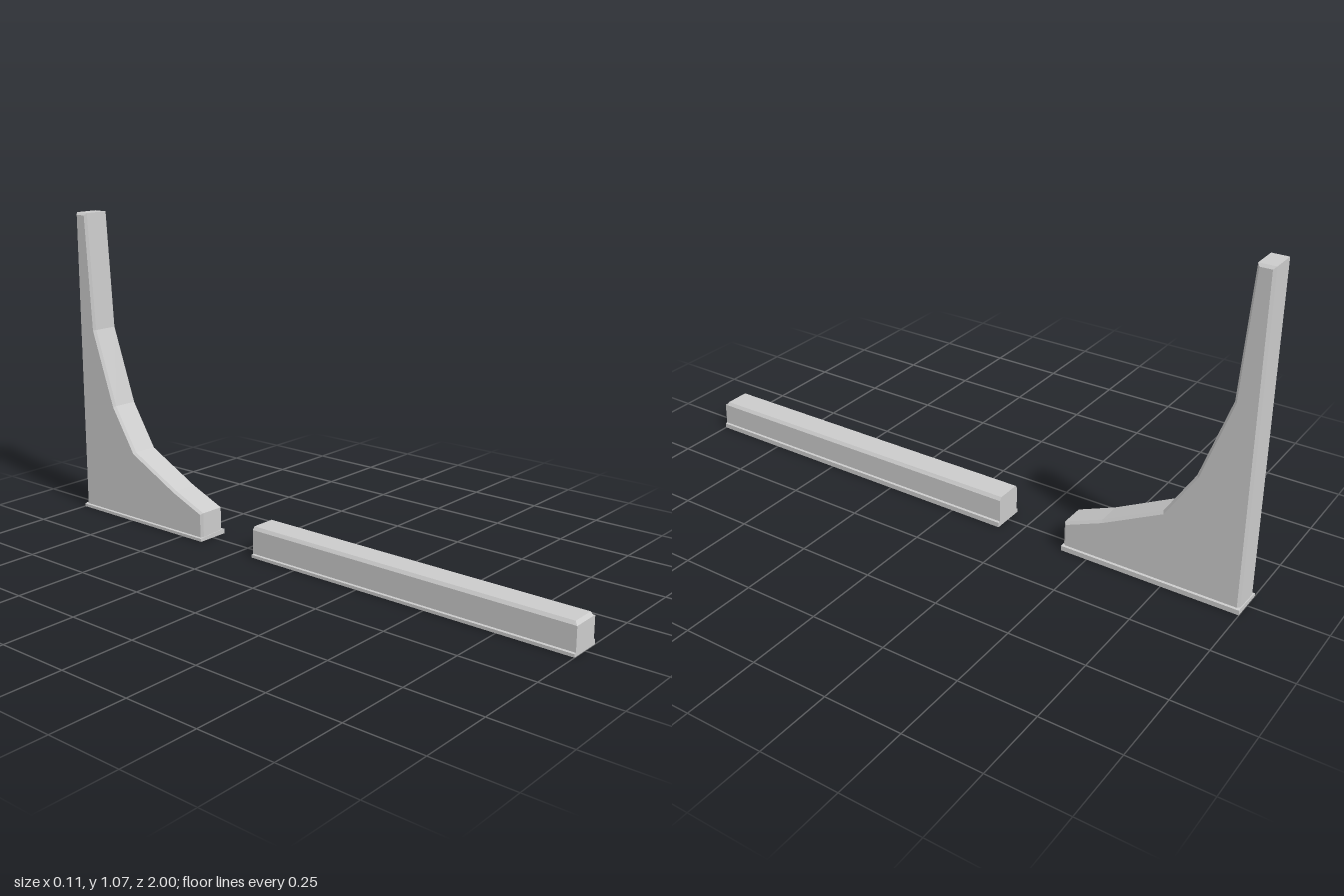
import * as THREE from 'three';

const material = new THREE.MeshStandardMaterial({ color: 0xcccccc, flatShading: true });

// Joins equal-length cross-sections, given counter-clockwise from +z, ordered back to front.
function loft(sections) {
  const n = sections[0].points.length;
  const pos = [], index = [];
  for (const { z, points } of sections) for (const [x, y] of points) pos.push(x, y, z);
  for (let s = 0; s < sections.length - 1; s++) {
    for (let i = 0; i < n; i++) {
      const j = (i + 1) % n, a = s * n + i, b = s * n + j;
      index.push(a, b, b + n, a, b + n, a + n);
    }
  }
  const caps = [[0, true], [sections.length - 1, false]];
  for (const [s, back] of caps) {
    const outline = sections[s].points.map(([x, y]) => new THREE.Vector2(x, y));
    for (const [a, b, c] of THREE.ShapeUtils.triangulateShape(outline, [])) {
      const o = s * n;
      index.push(o + a, o + (back ? c : b), o + (back ? b : c));
    }
  }
  const g = new THREE.BufferGeometry();
  g.setAttribute('position', new THREE.Float32BufferAttribute(pos, 3));
  g.setIndex(index);
  const flat = g.toNonIndexed();
  flat.computeVertexNormals();
  return flat;
}

// Low side lips, the right one a little thinner than the left
const lipLeft = [[0.057, 0], [0.057, 0.016], [0.05, 0.018]];
const lipRight = [[-0.05, 0.012], [-0.057, 0.01], [-0.057, 0]];

const barSection = (z, edge, top) => ({
  z,
  points: [...lipLeft, [0.05, edge], [0.042, top], [-0.042, top], [-0.05, edge], ...lipRight],
});

function named(geometry, name) {
  const mesh = new THREE.Mesh(geometry, material);
  mesh.name = name;
  return mesh;
}

export function createModel() {
  const model = new THREE.Group();
  model.name = 'barAndFin';

  // Long low bar with chamfered top and front edge
  model.add(named(loft([
    barSection(-0.18, 0.093, 0.104),
    barSection(0.3, 0.092, 0.102),
    barSection(0.99, 0.09, 0.1),
    barSection(1, 0.089, 0.09),
  ]), 'bar'));

  // Tall swept fin, outlined in (z, y) and chamfered all round
  const chamfer = 0.008;
  const outline = [
    [-0.412, 0.003], [-0.412, 0.097], [-0.54, 0.15], [-0.735, 0.25], [-0.83, 0.4],
    [-0.92, 0.66], [-0.945, 1.065], [-0.997, 1.065], [-0.997, 0.003],
  ].map(([z, y]) => new THREE.Vector2(z, y));
  const fin = new THREE.ExtrudeGeometry(new THREE.Shape(outline), {
    depth: 0.1 - 2 * chamfer,
    bevelEnabled: true,
    bevelSegments: 1,
    bevelSize: chamfer,
    bevelThickness: chamfer,
    bevelOffset: -chamfer,
  });
  fin.translate(0, 0, chamfer - 0.05);
  fin.rotateY(-Math.PI / 2);
  model.add(named(fin, 'fin'));

  // Lipped foot under the fin
  const foot = [...lipLeft, ...lipRight];
  model.add(named(loft([{ z: -1, points: foot }, { z: -0.41, points: foot }]), 'finFoot'));

  return model;
}
